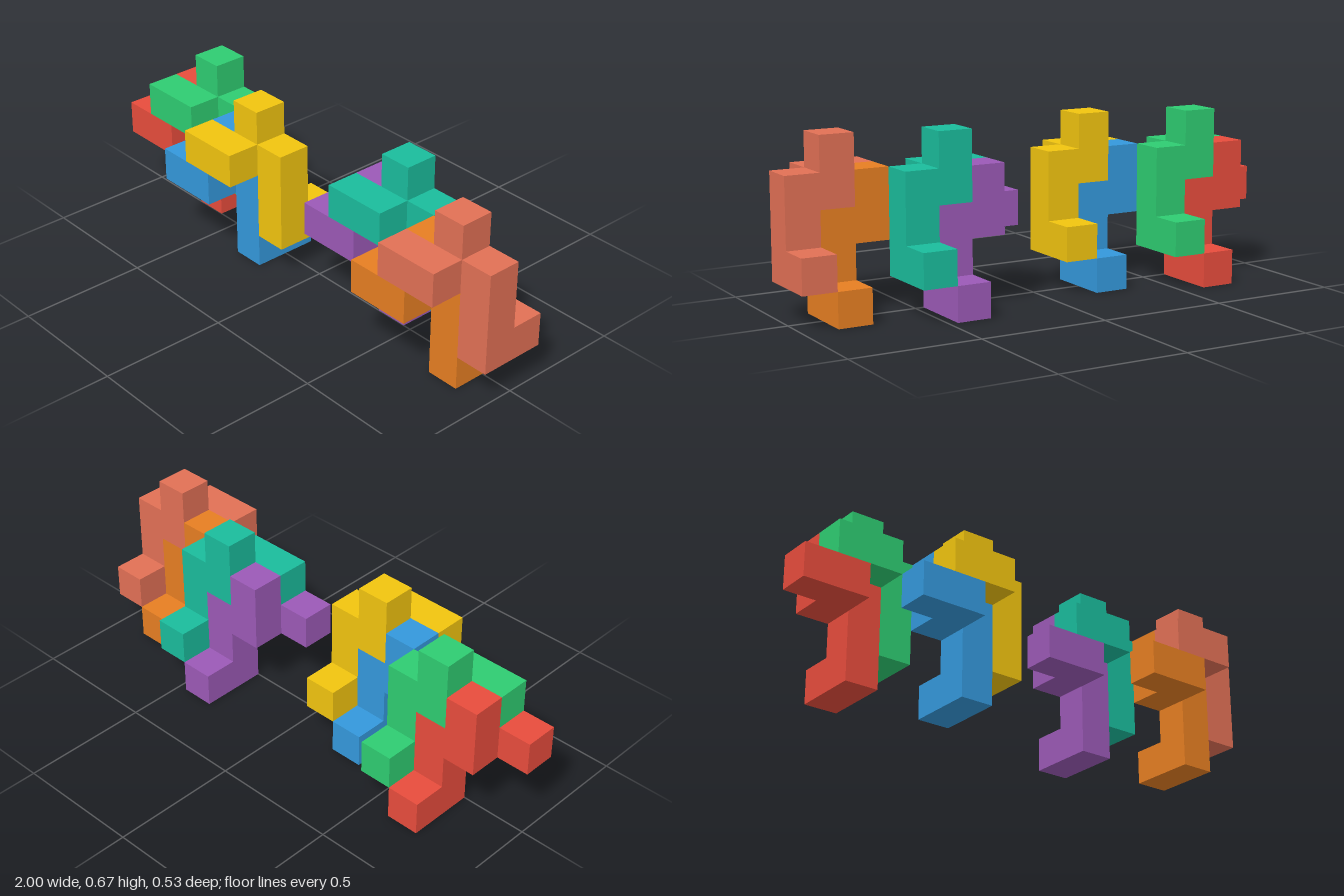
import * as THREE from 'three';
import { mergeGeometries } from 'three/addons/utils/BufferGeometryUtils.js';

const U = 2 / 15; // edge of one cube cell

// Cells (x, y, z) of the one interlocking piece that every part repeats
const CELLS = [
  [0, 2, 2], [1, 2, 2],            // front arm
  [1, 2, 1], [1, 3, 1],            // post
  [2, 2, 1], [2, 1, 1], [2, 0, 1], // leg
  [2, 0, 0],                       // heel
];

// Outer skin of the piece: a square wherever a cell has no neighbour
function pieceGeometry() {
  const filled = new Set(CELLS.map(String));
  const zAxis = new THREE.Vector3(0, 0, 1);
  const faces = [];
  for (const cell of CELLS) {
    for (let axis = 0; axis < 3; axis++) {
      for (const sign of [-1, 1]) {
        const next = [...cell];
        next[axis] += sign;
        if (filled.has(String(next))) continue;
        const normal = new THREE.Vector3().setComponent(axis, sign);
        const turn = axis === 2 && sign < 0
          ? new THREE.Quaternion(0, 1, 0, 0)
          : new THREE.Quaternion().setFromUnitVectors(zAxis, normal);
        const centre = new THREE.Vector3(...cell).addScalar(0.5).multiplyScalar(U);
        const face = new THREE.PlaneGeometry(U, U).applyQuaternion(turn);
        centre.addScaledVector(normal, U / 2);
        faces.push(face.translate(centre.x, centre.y, centre.z));
      }
    }
  }
  return mergeGeometries(faces);
}

export function createModel() {
  const model = new THREE.Group();
  model.name = 'interlockingPieces';
  const geometry = pieceGeometry();

  // Lower and upper piece colours of each nested pair, with the pair's cell offset in x and z
  const pairs = [
    { name: 'pairOne', x: 0, z: 0, colors: [0xe74c3c, 0x2ecc71] },
    { name: 'pairTwo', x: 3, z: 1, colors: [0x3498db, 0xf1c40f] },
    { name: 'pairThree', x: 8, z: 0, colors: [0x9b59b6, 0x1abc9c] },
    { name: 'pairFour', x: 11, z: 1, colors: [0xe67e22, 0xe17055] },
  ];
  for (const { name, x, z, colors } of pairs) {
    const pair = new THREE.Group();
    pair.name = name;
    pair.position.set(-1 + x * U, 0, (z - 2) * U);
    colors.forEach((color, step) => {
      const piece = new THREE.Mesh(geometry, new THREE.MeshStandardMaterial({ color }));
      piece.name = step ? 'upperPiece' : 'lowerPiece';
      piece.position.set(step * U, step * U, 0); // upper piece sits one cell over and up
      pair.add(piece);
    });
    model.add(pair);
  }
  return model;
}
